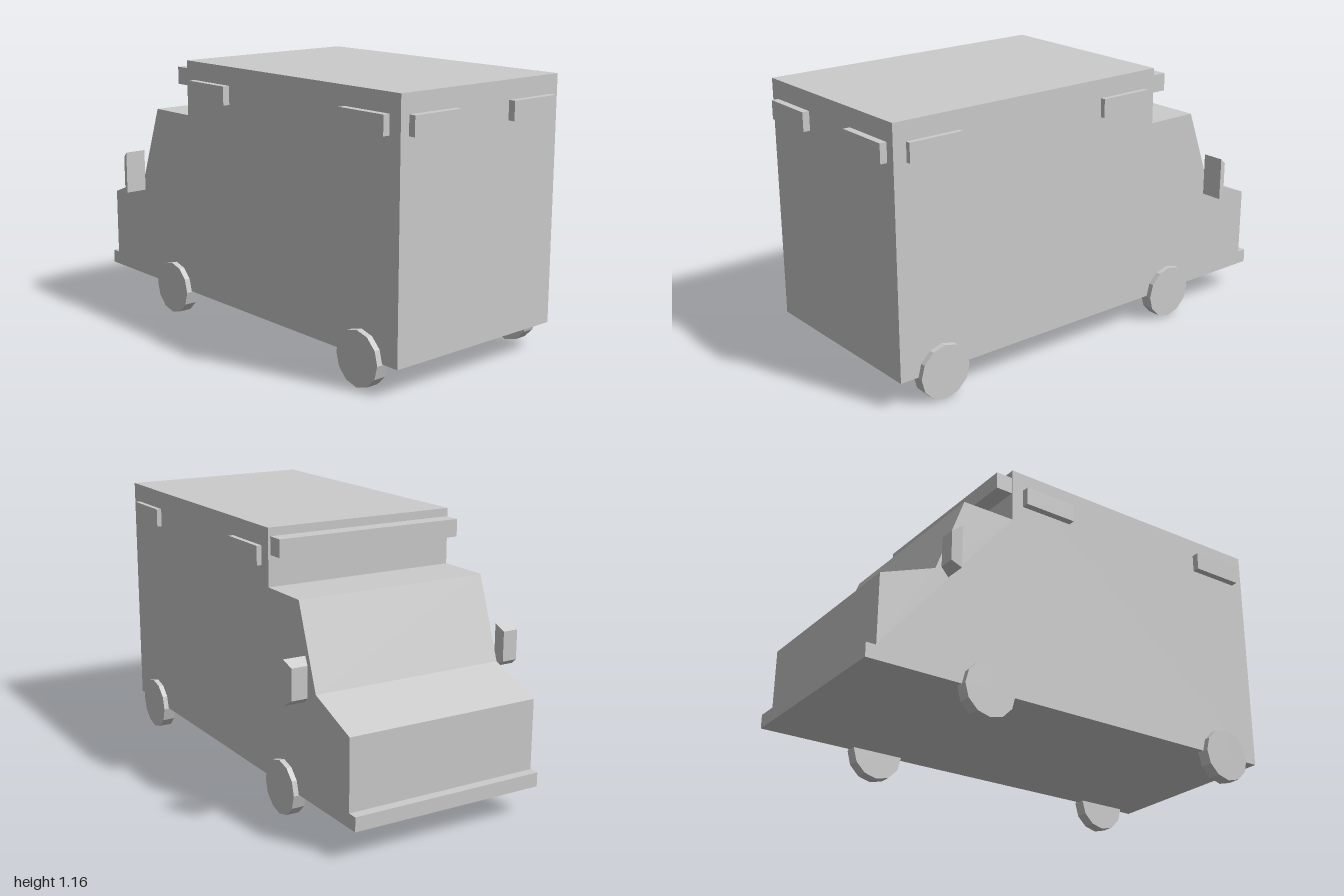
import * as THREE from 'three';

const material = new THREE.MeshStandardMaterial({ color: 0xcccccc, flatShading: true });

export function createModel() {
  const model = new THREE.Group();
  model.name = 'ambulance';

  const add = (name, geometry, x, y, z) => {
    const mesh = new THREE.Mesh(geometry, material);
    mesh.name = name;
    mesh.position.set(x, y, z);
    model.add(mesh);
    return mesh;
  };
  // Box given by its extents
  const addBox = (name, [x0, x1], [y0, y1], [z0, z1]) =>
    add(name, new THREE.BoxGeometry(x1 - x0, y1 - y0, z1 - z0),
      (x0 + x1) / 2, (y0 + y1) / 2, (z0 + z1) / 2);

  // Body: side outline (z, y) with box rear, cab, bonnet and bumper; the cab points to -z
  const outline = [
    [0.97, 0.12], [-1, 0.12], [-1, 0.18], [-0.957, 0.18], [-0.957, 0.48],
    [-0.715, 0.575], [-0.588, 0.92], [-0.35, 0.92], [-0.35, 1.16], [0.97, 1.16],
  ];
  const shape = new THREE.Shape(outline.map(([z, y]) => new THREE.Vector2(-z, y)));
  const bodyGeometry = new THREE.ExtrudeGeometry(shape, { depth: 0.87, bevelEnabled: false });
  bodyGeometry.translate(0, 0, -0.435).rotateY(Math.PI / 2);
  add('body', bodyGeometry, 0, 0, 0);

  // Light bar above the cab
  addBox('lightBar', [-0.43, 0.425], [1.05, 1.125], [-0.425, -0.34]);

  // Mirror tapering towards the front
  const mirrorGeometry = new THREE.BoxGeometry(0.097, 0.185, 0.04);
  const p = mirrorGeometry.attributes.position;
  for (let i = 0; i < p.count; i++) {
    if (p.getZ(i) < 0) p.setXY(i, p.getX(i) * 0.72, p.getY(i) * 0.7);
  }
  mirrorGeometry.computeVertexNormals();

  // Twelve-sided wheel, with a corner at the top
  const wheelGeometry = new THREE.CylinderGeometry(0.116, 0.116, 0.056, 12);
  wheelGeometry.rotateZ(Math.PI / 2);

  for (const side of [-1, 1]) {
    const label = side > 0 ? 'left' : 'right';
    add(label + 'Mirror', mirrorGeometry, side > 0 ? 0.503 : -0.507, 0.63, -0.69);
    for (const [end, z] of [['Front', -0.467], ['Rear', 0.773]]) {
      add(label + end + 'Wheel', wheelGeometry, side > 0 ? 0.43 : -0.433, 0.117, z);
    }
    // Warning lights on the side and on the back
    const sideX = side > 0 ? [0.42, 0.457] : [-0.466, -0.42];
    addBox(label + 'FrontLight', sideX, [1, 1.08], [-0.295, -0.05]);
    addBox(label + 'RearLight', sideX, [1, 1.08], [0.67, 0.912]);
    addBox(label + 'BackLight', side > 0 ? [0.147, 0.395] : [-0.393, -0.15], [1, 1.08], [0.96, 1]);
  }
  return model;
}
